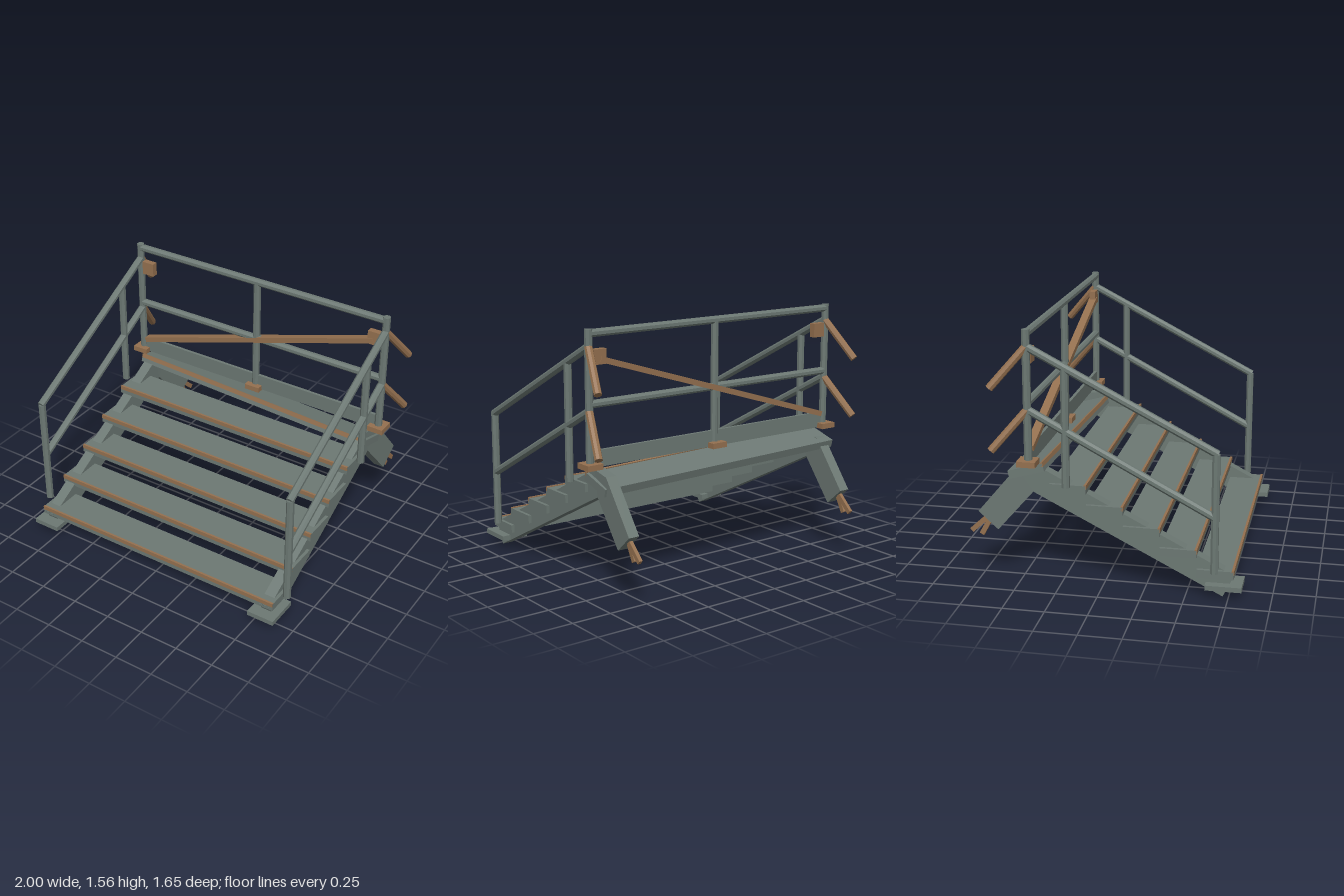
import * as THREE from 'three';

export function createModel() {
  const model = new THREE.Group();
  const steel = new THREE.MeshStandardMaterial({ color: 0x6c7873 });
  steel.name = 'weathered steel';
  const rust = new THREE.MeshStandardMaterial({ color: 0x94704f });
  rust.name = 'rust';
  steel.flatShading = rust.flatShading = true;

  const add = (parent, name, geometry, material) => {
    const mesh = new THREE.Mesh(geometry, material);
    mesh.name = name;
    parent.add(mesh);
    return mesh;
  };
  const box = (parent, name, material, size, pos) => {
    const mesh = add(parent, name, new THREE.BoxGeometry(...size), material);
    mesh.position.set(...pos);
    return mesh;
  };
  // Straight member between two points: an eight-sided tube, or a bar when a size is given
  const span = (name, material, a, b, bar) => {
    const from = new THREE.Vector3(...a), to = new THREE.Vector3(...b);
    const length = from.distanceTo(to);
    const geometry = bar ? new THREE.BoxGeometry(bar[0], length, bar[1])
      : new THREE.CylinderGeometry(0.024, 0.024, length, 8).rotateY(Math.PI / 8);
    const mesh = add(model, name, geometry, material);
    mesh.position.copy(from).add(to).multiplyScalar(0.5);
    mesh.quaternion.setFromUnitVectors(new THREE.Vector3(0, 1, 0), to.sub(from).normalize());
    return mesh;
  };
  // Beam from a (z, y) outline, extruded across x and leaning sideways behind z = -0.41
  const beam = (name, outline, x, lean) => {
    const shape = new THREE.Shape(outline.map(([z, y]) => new THREE.Vector2(z, y)));
    const geometry = new THREE.ExtrudeGeometry(shape, { depth: 0.07, bevelEnabled: false });
    geometry.rotateY(-Math.PI / 2).translate(x + 0.035, 0, 0);
    const p = geometry.attributes.position;
    for (let i = 0; i < p.count; i++) {
      p.setX(i, p.getX(i) + lean * Math.max(0, -0.41 - p.getZ(i)));
    }
    geometry.computeVertexNormals();
    add(model, name, geometry, steel);
  };

  // Treads with rusty nosings
  for (let i = 0; i < 5; i++) {
    const tread = new THREE.Group();
    tread.name = 'tread';
    tread.position.set(0, 0.14 + i * 0.1165, 0.67 - i * 0.2175);
    box(tread, 'treadPlate', steel, [1.74, 0.05, 0.218], [0, 0, 0]);
    box(tread, 'nosing', rust, [1.74, 0.026, 0.014], [0, 0.017, 0.104]);
    model.add(tread);
  }

  // Loose, sagging top landing
  const landing = new THREE.Group();
  landing.name = 'landing';
  landing.position.set(0, 0.675, -0.43);
  landing.rotation.set(-0.28, -0.012, -0.034);
  box(landing, 'landingPlate', steel, [1.74, 0.05, 0.218], [0, 0, 0]);
  box(landing, 'nosing', rust, [1.74, 0.026, 0.014], [0, 0.017, 0.104]);
  model.add(landing);

  for (const s of [-1, 1]) {
    // Stringer, bent rear stub, splinters and foot plate
    const x = s * 0.815;
    beam('stringer', [[0.715, 0], [0.78, 0.135], [-0.38, 0.73], [-0.41, 0.57]], x, 0);
    beam('brokenStringerEnd',
      [[-0.41, 0.57], [-0.38, 0.73], [-0.51, 0.71], [-0.757, 0.415], [-0.635, 0.31]], x, 0.07);
    span('splinter', rust, [x + 0.01, 0.42, -0.66], [x + 0.012, 0.265, -0.745], [0.022, 0.03]);
    span('splinter', rust, [x + 0.02, 0.41, -0.67], [x + 0.022, 0.28, -0.81], [0.022, 0.03]);
    box(model, 'footPlate', steel, [0.178, 0.03, 0.215], [x, 0.069, 0.722]);

    // Side railing
    const r = s * 0.905;
    span('frontPost', steel, [r, 0.165, 0.67], [r, 0.885, 0.67]);
    span('middlePost', steel, [r, 0.63, -0.2], [r, 1.345, -0.2]);
    span('backPost', steel, [r, 0.77, -0.42], [r, 1.555, -0.42]);
    span('handrail', steel, [r, 0.885, 0.68], [r, 1.455, -0.42]);
    span('midRail', steel, [r, 0.505, 0.67], [r, 1.085, -0.42]);

    // Snapped rail ends bending down and outward behind the posts
    for (const y of [1.455, 1.085]) {
      span('brokenRail', rust, [r, y, -0.42], [s * 0.978, y - 0.235, -0.62]);
    }
    box(model, 'gusset', rust, [0.085, 0.088, 0.04], [s * 0.838, 1.394, -0.42]);
  }

  // Back railing
  for (const y of [1.53, 1.125]) span('backRail', steel, [-0.905, y, -0.42], [0.905, y, -0.42]);
  span('centerPost', steel, [0, 0.77, -0.42], [0, 1.53, -0.42]);
  for (const x of [-0.905, 0, 0.905]) {
    box(model, 'postBase', rust, [0.105, 0.034, 0.112], [x, 0.768, -0.424]);
  }
  box(model, 'toeBoard', steel, [1.76, 0.1, 0.02], [0, 0.805, -0.42]);
  span('diagonalBrace', rust, [-0.875, 0.845, -0.42], [0.835, 1.38, -0.42], [0.034, 0.05]);

  return model;
}
